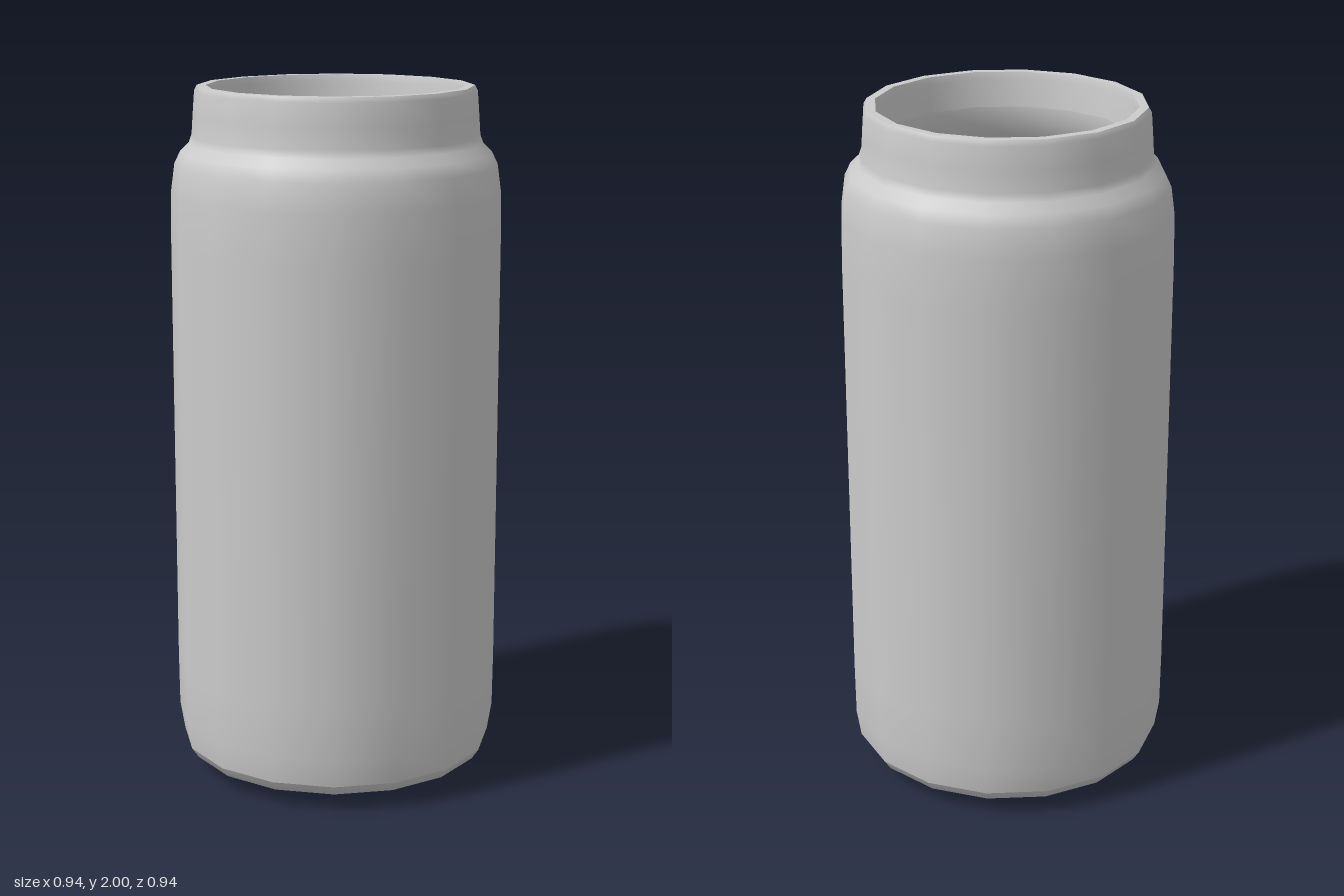
import * as THREE from 'three';

const SIDES = 16;

export function createModel() {
  const jar = new THREE.Group();
  jar.name = 'jar';
  const material = new THREE.MeshStandardMaterial({ color: 0xcccccc });

  // Each band is smooth within itself and meets its neighbours at a sharp edge.
  function band(name, profile) {
    const points = profile.map(([r, y]) => new THREE.Vector2(r, y));
    const mesh = new THREE.Mesh(new THREE.LatheGeometry(points, SIDES), material);
    mesh.name = name;
    jar.add(mesh);
  }

  // Outside, from the base up to the rim
  band('base', [[0, 0], [0.3, 0.01], [0.4, 0.035], [0.435, 0.05], [0.455, 0.08]]);
  band('outerWall', [
    [0.455, 0.08], [0.468, 0.16], [0.47, 0.32], [0.47, 1.56], [0.468, 1.7], [0.457, 1.78],
    [0.44, 1.815], [0.415, 1.84], [0.407, 1.862], [0.403, 1.92], [0.398, 1.985], [0.39, 2],
  ]);
  band('rim', [[0.39, 2], [0.365, 2]]);

  // Inside, from the rim down to the floor
  band('innerNeck', [[0.365, 2], [0.36, 1.98], [0.353, 1.9]]);
  band('innerWall', [
    [0.353, 1.9], [0.355, 1.85], [0.385, 1.8], [0.415, 1.75], [0.43, 1.68],
    [0.43, 0.25], [0.42, 0.14], [0.39, 0.09],
  ]);
  band('floor', [[0.39, 0.09], [0, 0.07]]);

  return jar;
}
